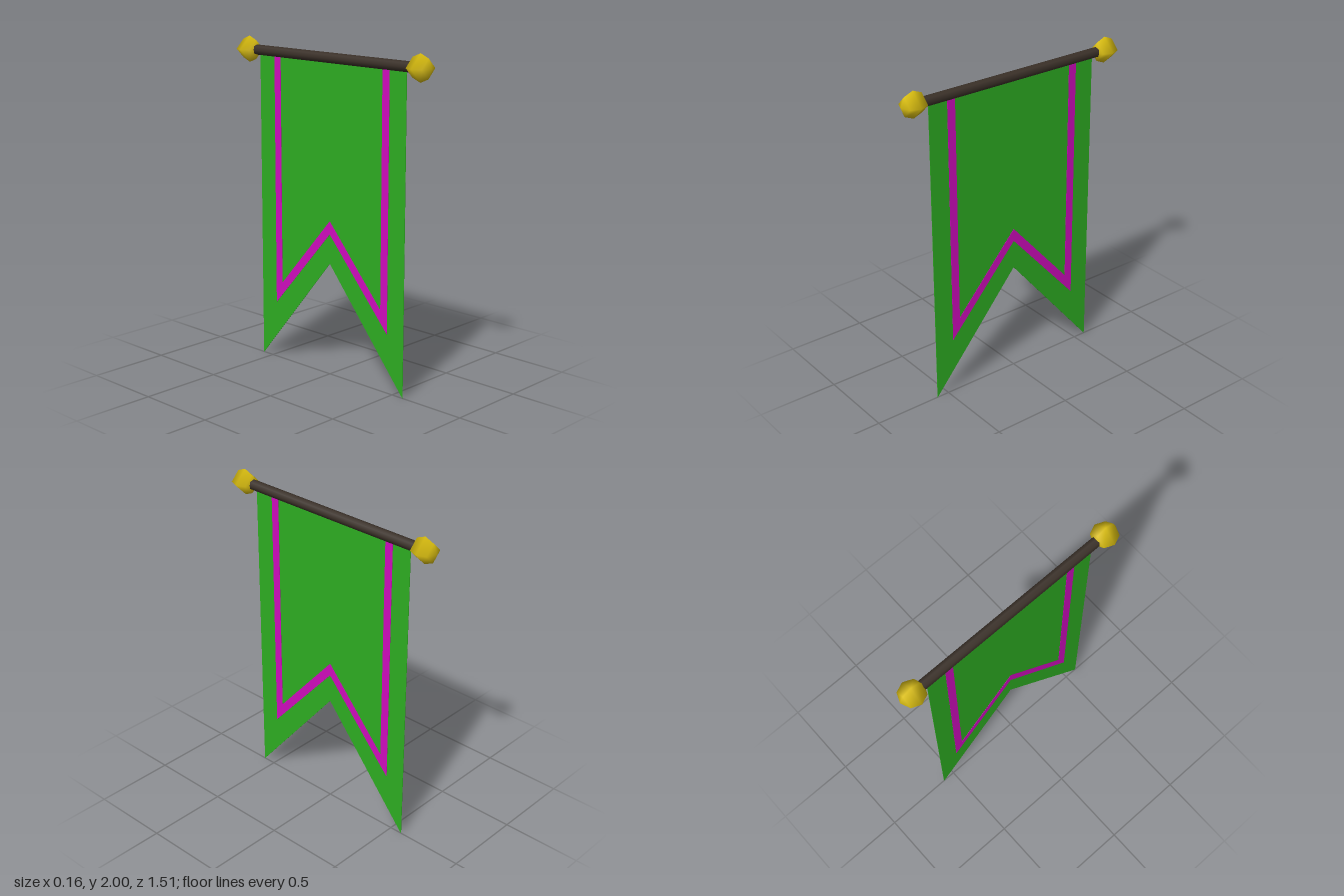
import * as THREE from 'three';

const mat = (name, color) => {
  const m = new THREE.MeshStandardMaterial({ color });
  m.name = name;
  return m;
};

// Thin sheet standing in the YZ plane, centred on x = 0; points are [z, y]
function sheet(name, points, thickness, material) {
  const shape = new THREE.Shape(points.map(([z, y]) => new THREE.Vector2(z, y)));
  const geo = new THREE.ExtrudeGeometry(shape, { depth: thickness, bevelEnabled: false });
  geo.translate(0, 0, -thickness / 2).rotateY(-Math.PI / 2);
  const mesh = new THREE.Mesh(geo, material);
  mesh.name = name;
  return mesh;
}

export function createModel() {
  const green = mat('green cloth', 0x2ead22);
  const magenta = mat('magenta trim', 0xcf0cbd);
  const gold = mat('gold', 0xd9bd10);
  const darkWood = mat('dark wood', 0x3a3028);

  const model = new THREE.Group();
  model.name = 'hangingBanner';
  const rodY = 1.92;

  // Swallow-tailed cloth
  model.add(sheet('cloth', [
    [-0.58, rodY], [-0.58, 0], [0, 0.695], [0.58, 0], [0.58, rodY],
  ], 0.003, green));

  // Trim band following the sides and the notch, showing on both faces
  model.add(sheet('trim', [
    [-0.457, rodY], [-0.457, 0.36], [0, 0.875], [0.457, 0.36], [0.457, rodY],
    [0.405, rodY], [0.405, 0.495], [0, 0.955], [-0.405, 0.495], [-0.405, rodY],
  ], 0.006, magenta));

  // Crossbar
  const rod = new THREE.Mesh(new THREE.CylinderGeometry(0.031, 0.031, 1.23, 8), darkWood);
  rod.name = 'crossbar';
  rod.rotation.x = Math.PI / 2;
  rod.position.y = rodY;
  model.add(rod);

  // Four-sided finials, poles along the bar
  for (const side of [1, -1]) {
    const finial = new THREE.Mesh(new THREE.SphereGeometry(0.08, 4, 4), gold);
    finial.name = side > 0 ? 'frontFinial' : 'backFinial';
    finial.rotation.x = side * Math.PI / 2;
    finial.position.set(0, rodY, side * 0.675);
    model.add(finial);
  }
  return model;
}
